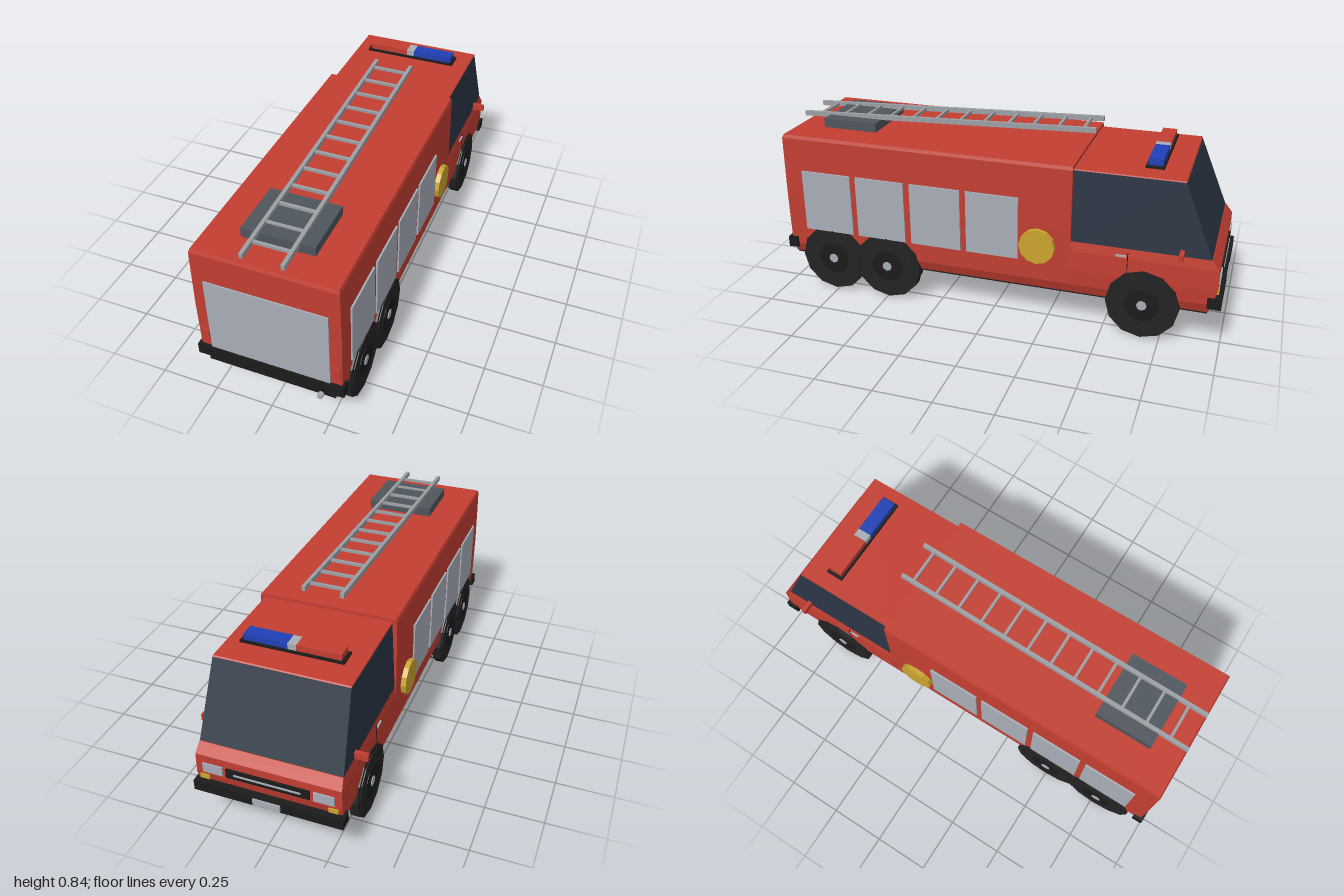
import * as THREE from 'three';

const mat = (name, color) => Object.assign(new THREE.MeshStandardMaterial({ color }), { name });
const M = {
  red: mat('red paint', 0xc23e31),
  glass: mat('dark glass', 0x2a3543),
  shutter: mat('shutter grey', 0xa8adb6),
  steel: mat('ladder steel', 0x9b9fa4),
  deck: mat('deck grey', 0x4e555c),
  black: mat('black trim', 0x1b1b1b),
  tyre: mat('tyre rubber', 0x232323),
  yellow: mat('hose yellow', 0xcaa42f),
  blue: mat('beacon blue', 0x2040b4),
};

export function createModel() {
  const root = new THREE.Group();
  root.name = 'fireTruck';

  function add(name, geo, material, parent = root) {
    const m = new THREE.Mesh(geo, material);
    m.name = name;
    parent.add(m);
    return m;
  }
  // box given by its limits on each axis
  function box(name, [x0, x1], [y0, y1], [z0, z1], material, parent = root) {
    const m = add(name, new THREE.BoxGeometry(x1 - x0, y1 - y0, z1 - z0), material, parent);
    m.position.set((x0 + x1) / 2, (y0 + y1) / 2, (z0 + z1) / 2);
    return m;
  }
  // same box on both sides of the truck
  function pair(name, [x0, x1], y, z, material) {
    box(name + 'Left', [x0, x1], y, z, material);
    box(name + 'Right', [-x1, -x0], y, z, material);
  }
  // closed shell through rectangles stacked in y: [y, halfWidth, zMin, zMax]
  function stack(name, levels, material) {
    const rings = levels.map(([y, w, a, b]) => [[-w, y, b], [w, y, b], [w, y, a], [-w, y, a]]);
    const pos = [];
    const quad = (a, b, c, d) => pos.push(...a, ...b, ...c, ...a, ...c, ...d);
    for (let i = 0; i < rings.length - 1; i++) {
      for (let j = 0; j < 4; j++) {
        const k = (j + 1) % 4;
        quad(rings[i][j], rings[i][k], rings[i + 1][k], rings[i + 1][j]);
      }
    }
    const top = rings[rings.length - 1], low = rings[0];
    quad(top[0], top[1], top[2], top[3]);
    quad(low[3], low[2], low[1], low[0]);
    const geo = new THREE.BufferGeometry();
    geo.setAttribute('position', new THREE.Float32BufferAttribute(pos, 3));
    geo.computeVertexNormals();
    return add(name, geo, material);
  }
  // faceted drum lying along x
  function drum(name, r, x0, x1, sides, material, parent = root) {
    const geo = new THREE.CylinderGeometry(r, r, x1 - x0, sides).toNonIndexed();
    geo.computeVertexNormals();
    geo.rotateZ(Math.PI / 2);
    const m = add(name, geo, material, parent);
    m.position.x = (x0 + x1) / 2;
    return m;
  }

  // Equipment body, cab and glasshouse
  stack('equipmentBody', [
    [0.155, 0.285, -0.355, 0.968], [0.2, 0.302, -0.355, 0.978], [0.45, 0.305, -0.355, 0.979],
    [0.72, 0.301, -0.355, 0.979], [0.735, 0.296, -0.355, 0.973],
  ], M.red);
  stack('cabLower', [
    [0.155, 0.285, -0.94, -0.35], [0.2, 0.302, -0.955, -0.35], [0.27, 0.306, -0.973, -0.35],
    [0.36, 0.304, -0.973, -0.35], [0.402, 0.298, -0.942, -0.35],
  ], M.red);
  stack('cabGlass', [[0.4, 0.298, -0.94, -0.35], [0.717, 0.281, -0.81, -0.35]], M.glass);
  stack('cabRoof', [[0.716, 0.282, -0.812, -0.35], [0.721, 0.28, -0.808, -0.35]], M.red);
  box('underside', [-0.283, 0.283], [0.148, 0.157], [-0.938, 0.968], M.black);

  // Bumpers
  box('frontBumper', [-0.315, 0.315], [0.188, 0.235], [-0.993, -0.935], M.black);
  box('rearBumper', [-0.315, 0.315], [0.185, 0.235], [0.948, 0.993], M.black);
  box('rearSkirt', [-0.275, 0.275], [0.15, 0.187], [0.95, 0.98], M.black);

  // Shutters
  for (const [a, b] of [[0.656, 0.892], [0.399, 0.629], [0.137, 0.37], [-0.126, 0.11]]) {
    pair('sideShutter', [0.303, 0.311], [0.289, 0.573], [a, b], M.shutter);
  }
  box('rearShutter', [-0.255, 0.255], [0.235, 0.59], [0.977, 0.985], M.shutter);
  pair('tailLamp', [0.262, 0.296], [0.265, 0.325], [0.975, 0.983], M.red);

  // Hose reels, mirrors, handles and door seams
  for (const s of [1, -1]) {
    const reel = drum('hoseReel', 0.079, 0.29, 0.327, 12, M.yellow);
    reel.position.set(s * 0.3085, 0.365, -0.212);
  }
  pair('mirror', [0.29, 0.352], [0.4, 0.43], [-0.828, -0.81], M.red);
  pair('doorHandle', [0.3, 0.309], [0.366, 0.374], [-0.592, -0.548], M.shutter);
  pair('doorSeam', [0.3, 0.3065], [0.27, 0.385], [-0.6, -0.597], M.black);

  // Nose details
  box('grille', [-0.175, 0.175], [0.282, 0.325], [-0.98, -0.971], M.black);
  box('grilleBar', [-0.14, 0.14], [0.3, 0.308], [-0.983, -0.979], M.shutter);
  pair('headlight', [0.19, 0.275], [0.282, 0.325], [-0.979, -0.971], M.shutter);
  pair('indicator', [0.25, 0.29], [0.246, 0.266], [-0.978, -0.965], M.yellow);
  box('numberPlate', [-0.058, 0.058], [0.195, 0.226], [-0.999, -0.992], M.shutter);

  // Beacon bar
  pair('beaconFoot', [0.14, 0.16], [0.715, 0.738], [-0.69, -0.66], M.black);
  box('beaconBase', [-0.215, 0.215], [0.734, 0.744], [-0.712, -0.635], M.black);
  box('redBeacon', [-0.202, -0.018], [0.743, 0.77], [-0.704, -0.643], M.red);
  box('beaconCentre', [-0.018, 0.018], [0.743, 0.77], [-0.704, -0.643], M.shutter);
  box('blueBeacon', [0.018, 0.202], [0.743, 0.77], [-0.704, -0.643], M.blue);

  // Roof ladder on its mount
  box('ladderMount', [-0.152, 0.152], [0.73, 0.776], [0.59, 0.845], M.deck);
  const ladder = new THREE.Group();
  ladder.name = 'ladder';
  ladder.position.set(0, 0.798, 0.288);
  ladder.rotation.x = Math.atan2(0.056, 1.375);
  root.add(ladder);
  for (const s of [1, -1]) {
    box('ladderRail', [s * 0.083 - 0.008, s * 0.083 + 0.008], [-0.011, 0.011], [-0.688, 0.688], M.steel, ladder);
  }
  for (let i = 0; i < 12; i++) {
    const z = -0.633 + i * 0.1125;
    box('ladderRung', [-0.08, 0.08], [-0.006, 0.006], [z - 0.006, z + 0.006], M.steel, ladder);
  }

  // Exhaust
  const pipe = add('exhaustPipe', new THREE.CylinderGeometry(0.012, 0.012, 0.08, 10), M.shutter);
  pipe.rotation.x = Math.PI / 2;
  pipe.position.set(0.215, 0.153, 0.96);

  // Wheels, built for the left side and turned for the right
  for (const z of [0.763, 0.493, -0.67]) {
    for (const s of [1, -1]) {
      const wheel = new THREE.Group();
      wheel.name = 'wheel';
      wheel.position.set(0, 0.157, z);
      if (s < 0) wheel.rotation.y = Math.PI;
      root.add(wheel);
      drum('tyreInner', 0.14, 0.234, 0.29, 12, M.tyre, wheel);
      drum('tyreOuter', 0.157, 0.272, 0.31, 12, M.tyre, wheel);
      drum('tyreSidewall', 0.135, 0.308, 0.314, 12, M.tyre, wheel);
      drum('rim', 0.075, 0.312, 0.316, 12, M.black, wheel);
      drum('hub', 0.022, 0.312, 0.32, 8, M.shutter, wheel);
      for (let i = 0; i < 12; i++) {
        const a = ((i + 0.5) / 12) * Math.PI * 2;
        const lug = box('treadLug', [0.236, 0.275], [-0.008, 0.008], [-0.018, 0.018], M.tyre, wheel);
        lug.position.set(0.2555, Math.cos(a) * 0.138, Math.sin(a) * 0.138);
        lug.rotation.x = a;
      }
    }
  }
  return root;
}
